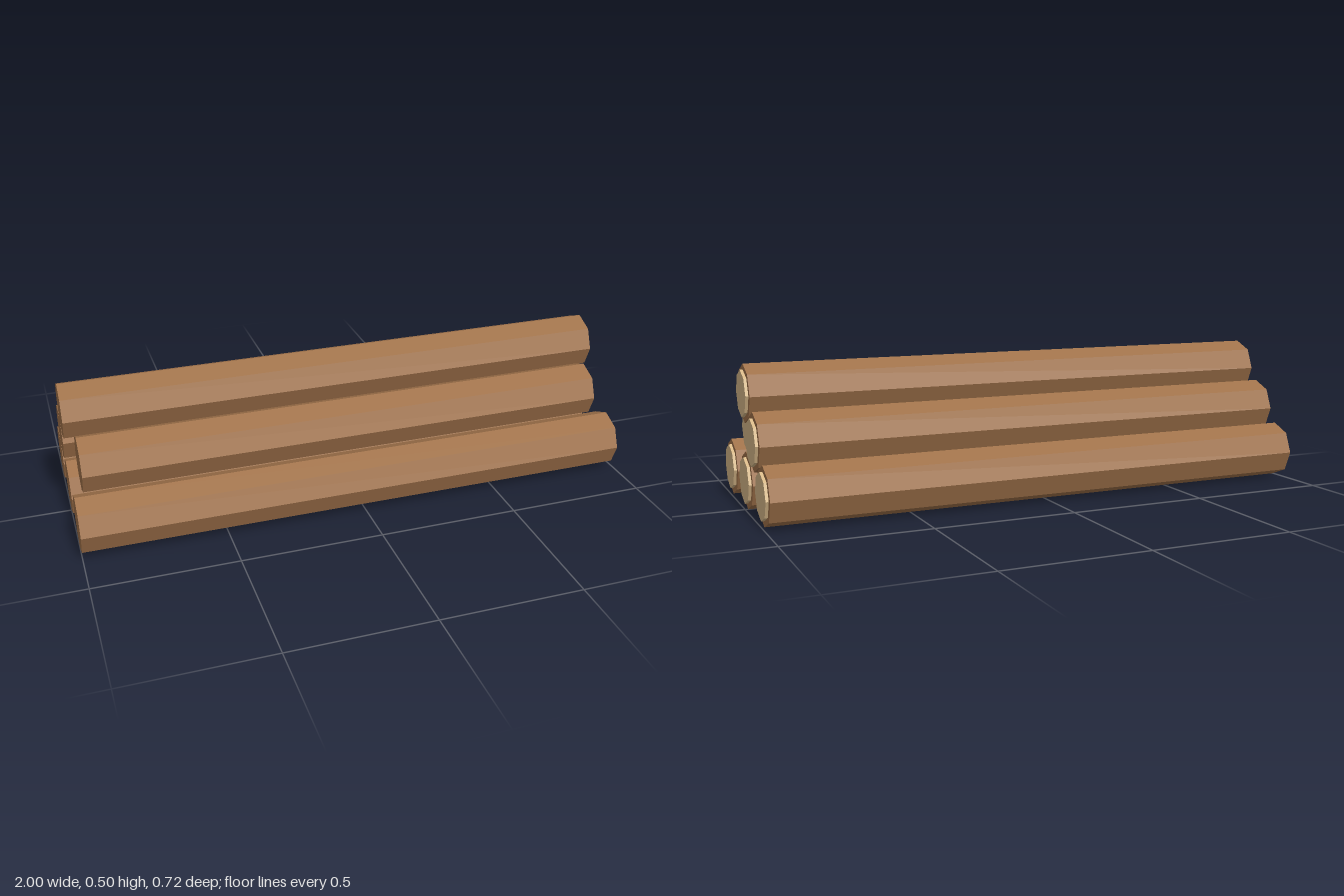
import * as THREE from 'three';

const bark = new THREE.MeshStandardMaterial({ color: 0xa0724a, flatShading: true });
const cutWood = new THREE.MeshStandardMaterial({ color: 0xd8b989, flatShading: true });

// Octagonal bar along x with a corner pointing up
function bar(name, radius, x0, x1, material) {
  const geometry = new THREE.CylinderGeometry(radius, radius, x1 - x0, 8);
  geometry.rotateZ(-Math.PI / 2);
  const mesh = new THREE.Mesh(geometry, material);
  mesh.name = name;
  mesh.position.x = (x0 + x1) / 2;
  return mesh;
}

// Log with a pale cut face standing slightly proud of its +x end
function log(name, y, z, x0 = -1, x1 = 1) {
  const group = new THREE.Group();
  group.name = name;
  group.add(bar('bark', 0.1005, x0, x1 - 0.01, bark));
  group.add(bar('cutFace', 0.0805, x1 - 0.02, x1, cutWood));
  group.position.set(0, y, z);
  return group;
}

export function createModel() {
  const model = new THREE.Group();
  model.name = 'logPile';

  // Bottom row of three
  for (const [name, z] of [['bottomLogBack', -0.261], ['bottomLogMiddle', 0], ['bottomLogFront', 0.261]]) {
    model.add(log(name, 0.102, z));
  }
  // Middle row, the front log is a little shorter
  model.add(log('middleLogBack', 0.2545, -0.1305));
  model.add(log('middleLogFront', 0.2545, 0.1305, -0.965, 0.96));
  // Single log on top
  model.add(log('topLog', 0.3995, 0));

  return model;
}
